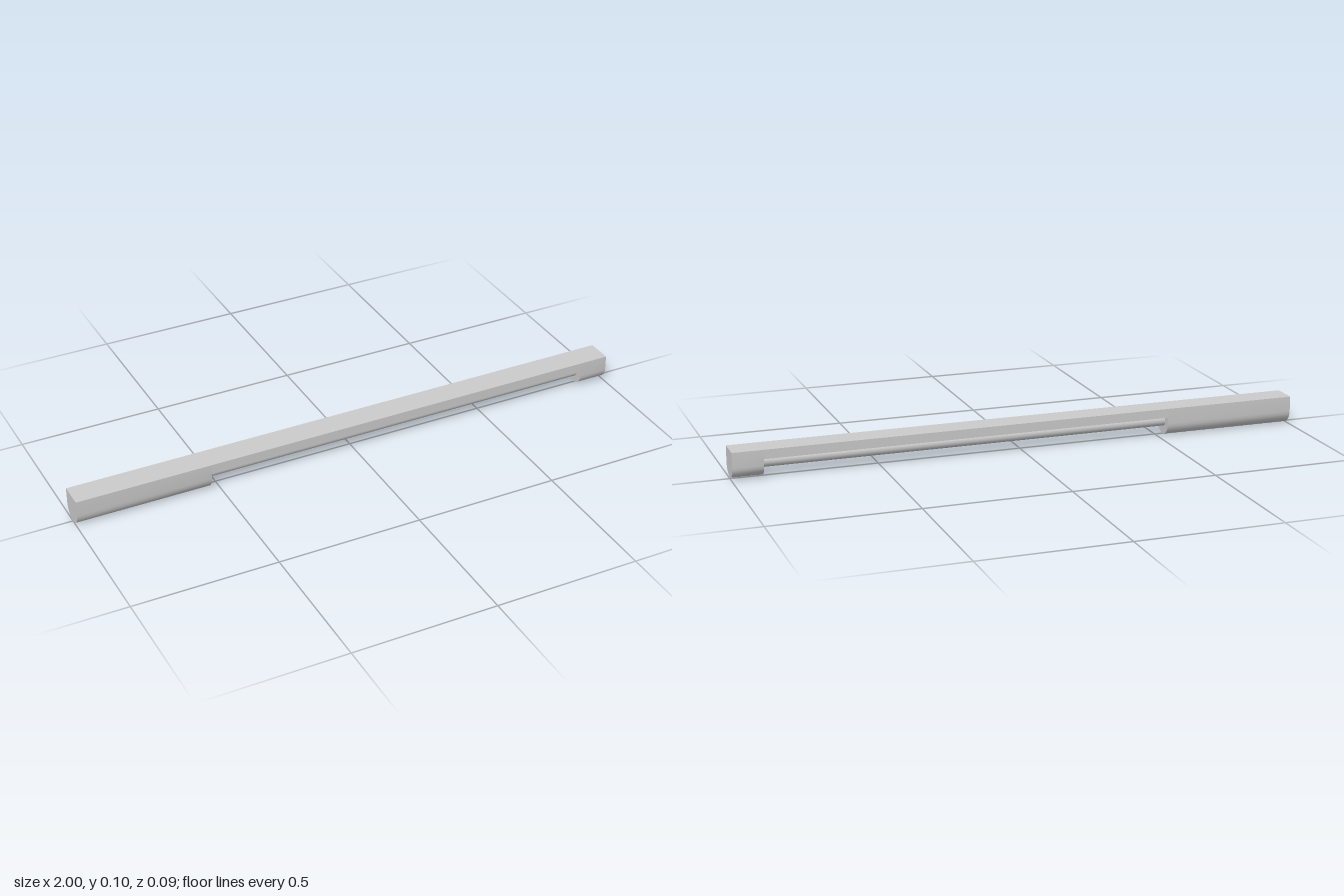
import * as THREE from 'three';
import { toCreasedNormals } from 'three/addons/utils/BufferGeometryUtils.js';

const HALF = 0.045, TOP = 0.1, SHOULDER = 0.047;
const GRIP_X = -0.53, TIP_X = 0.895;

// U-shaped cross-section: flat top, straight sides, rounded belly down to `bottom`
function bellySection(bottom) {
  const shape = new THREE.Shape();
  shape.moveTo(HALF, TOP);
  shape.lineTo(-HALF, TOP);
  const n = 12;
  for (let i = 0; i <= n; i++) {
    const a = Math.PI + (i / n) * Math.PI;
    shape.lineTo(HALF * Math.cos(a), SHOULDER + (SHOULDER - bottom) * Math.sin(a));
  }
  shape.closePath();
  return shape;
}

export function createModel() {
  const group = new THREE.Group();
  const material = new THREE.MeshStandardMaterial({ color: 0xcccccc });
  const add = (name, geometry) => {
    const mesh = new THREE.Mesh(geometry, material);
    mesh.name = name;
    group.add(mesh);
    return mesh;
  };

  // End blocks: the section swept along x
  const block = (name, x0, x1, bottom) => {
    const geo = new THREE.ExtrudeGeometry(bellySection(bottom), { depth: x1 - x0, bevelEnabled: false });
    geo.rotateY(Math.PI / 2).translate(x0, 0, 0);
    add(name, toCreasedNormals(geo, 0.7));
  };
  block('longEndBlock', -1, GRIP_X, 0);
  block('shortEndBlock', TIP_X, 1, 0.005);

  // Flat bar joining the end blocks
  const span = TIP_X - GRIP_X, mid = (TIP_X + GRIP_X) / 2;
  add('topBar', new THREE.BoxGeometry(span, TOP - 0.068, HALF * 2)).position.set(mid, (TOP + 0.068) / 2, 0);

  // Round rod running beneath the bar
  const rod = new THREE.CylinderGeometry(0.021, 0.021, span, 24, 1, true).rotateZ(Math.PI / 2);
  add('rod', rod).position.set(mid, 0.05, 0);

  return group;
}
